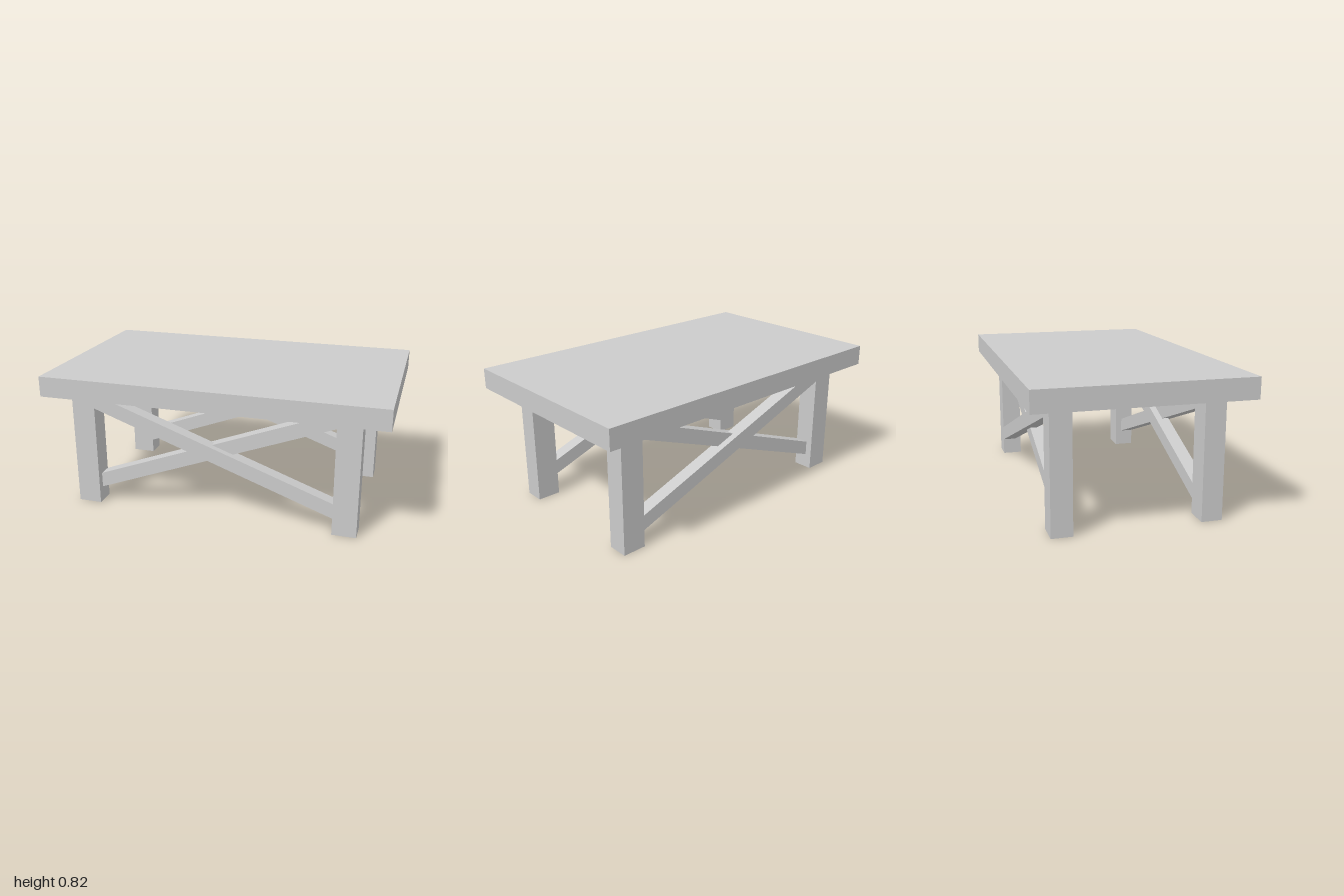
import * as THREE from 'three';

const material = new THREE.MeshStandardMaterial({ color: 0xcccccc });

const LEFT_X = -0.795, RIGHT_X = 0.775; // leg centres
const LEG_Z = 0.42;

function addBox(parent, name, size, position) {
  const mesh = new THREE.Mesh(new THREE.BoxGeometry(...size), material);
  mesh.name = name;
  mesh.position.set(...position);
  parent.add(mesh);
  return mesh;
}

// Diagonal bar between two heights, its ends buried in the legs
function addBrace(parent, name, yLeft, yRight, z) {
  const dx = RIGHT_X - LEFT_X, dy = yRight - yLeft;
  const brace = addBox(parent, name, [Math.hypot(dx, dy), 0.085, 0.08],
    [(LEFT_X + RIGHT_X) / 2, (yLeft + yRight) / 2, z]);
  brace.rotation.z = Math.atan2(dy, dx);
}

export function createModel() {
  const table = new THREE.Group();
  table.name = 'table';

  // Top made of two flush layers
  addBox(table, 'upperTabletop', [2, 0.06, 1.2], [0, 0.79, 0]);
  addBox(table, 'lowerTabletop', [2, 0.06, 1.2], [0, 0.73, 0]);

  // Two mirrored trestles, each with a pair of legs and crossed braces
  for (const [name, side] of [['frontTrestle', 1], ['backTrestle', -1]]) {
    const trestle = new THREE.Group();
    trestle.name = name;
    for (const [legName, x] of [['rightLeg', LEFT_X], ['leftLeg', RIGHT_X]]) {
      addBox(trestle, legName, [0.14, 0.7, 0.12], [x, 0.35, side * LEG_Z]);
    }
    addBrace(trestle, 'outerBrace', 0.683, 0.122, side * 0.44);
    addBrace(trestle, 'innerBrace', 0.108, 0.698, side * 0.40);
    table.add(trestle);
  }
  return table;
}
